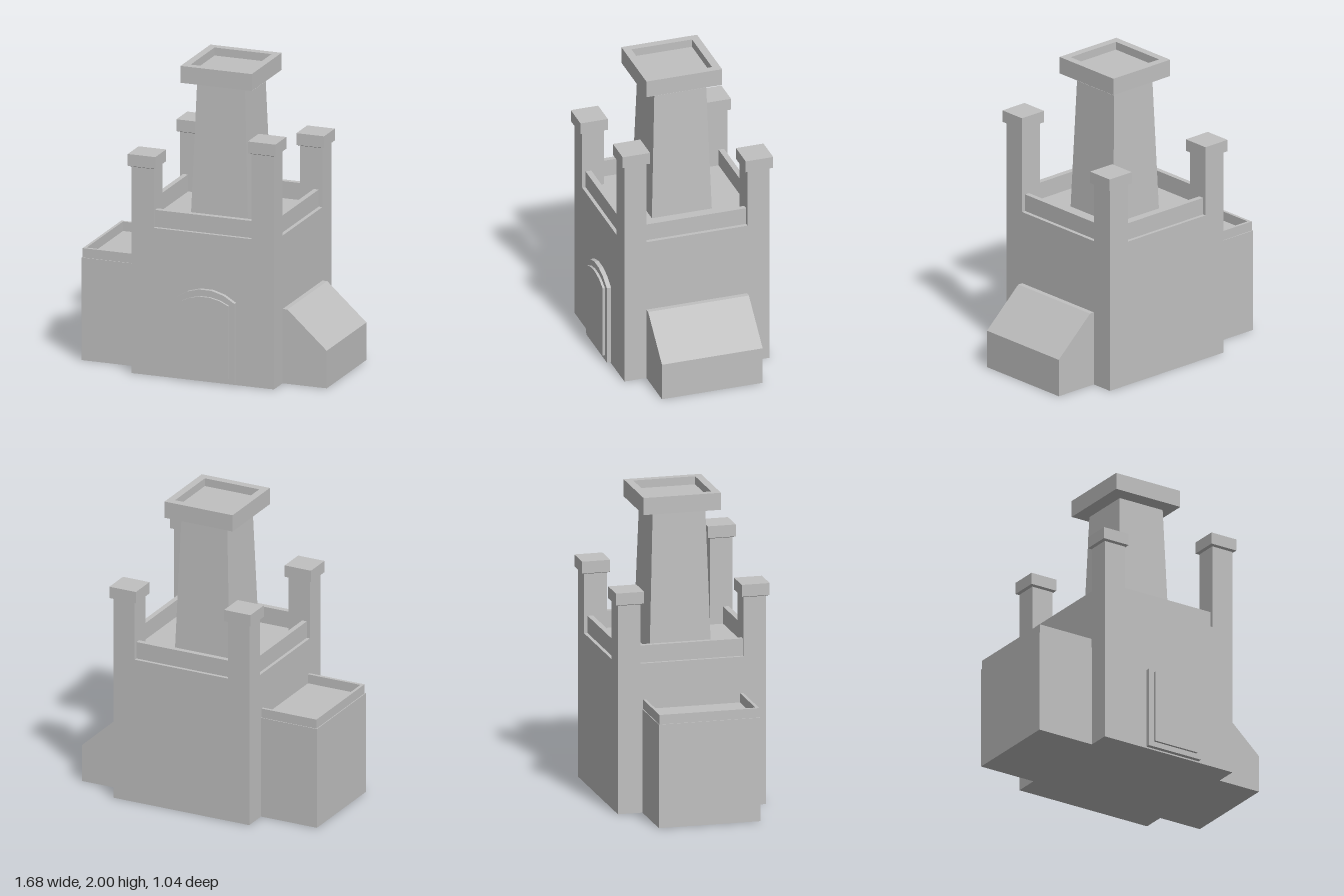
import * as THREE from 'three';

export function createModel() {
  const model = new THREE.Group();
  const stone = new THREE.MeshStandardMaterial({ color: 0xc0c0c0 });
  stone.name = 'stoneGrey';

  const add = (name, geometry) => {
    const mesh = new THREE.Mesh(geometry, stone);
    mesh.name = name;
    model.add(mesh);
    return mesh;
  };

  // Block given by its limits; grow widens (or narrows) the top by [x, z] per side
  const block = (name, [x0, x1], [y0, y1], [z0, z1], grow = [0, 0]) => {
    const g = new THREE.BoxGeometry(x1 - x0, y1 - y0, z1 - z0);
    const p = g.attributes.position;
    for (let i = 0; i < p.count; i++) {
      if (p.getY(i) < 0) continue;
      p.setX(i, p.getX(i) + Math.sign(p.getX(i)) * grow[0]);
      p.setZ(i, p.getZ(i) + Math.sign(p.getZ(i)) * grow[1]);
    }
    g.computeVertexNormals();
    g.translate((x0 + x1) / 2, (y0 + y1) / 2, (z0 + z1) / 2);
    return add(name, g);
  };

  const shapeOf = (points) => new THREE.Shape(points.map(([x, y]) => new THREE.Vector2(x, y)));
  const extrude = (shape, depth) => new THREE.ExtrudeGeometry(shape, { depth, bevelEnabled: false });
  // Plan outline (x, z) raised from y0 to y1
  const raise = (name, shape, y0, y1) =>
    add(name, extrude(shape, y1 - y0).rotateX(Math.PI / 2).translate(0, y1, 0));

  // Keep
  const roof = 0.98;
  block('keep', [-0.439, 0.537], [0, roof], [-0.503, 0.473]);

  // Corner turrets with overhanging caps; the front left one is taller
  const turretX = [[-0.439, -0.286], [0.383, 0.537]];
  const turretZ = [[-0.503, -0.354], [0.325, 0.473]];
  const o = 0.018;
  turretX.forEach((x, i) => turretZ.forEach((z, j) => {
    const top = i && j ? 1.545 : 1.37;
    block('turret', x, [roof, top], z);
    block('turretCapUnderside', x, [top, top + 0.008], z, [o, o]);
    block('turretCap', [x[0] - o, x[1] + o], [top + 0.008, top + 0.086], [z[0] - o, z[1] + o]);
  }));

  // Parapets between the turrets
  const wall = [roof, 1.093];
  block('frontParapet', [-0.286, 0.383], wall, [0.412, 0.45]);
  block('backParapet', [-0.286, 0.383], wall, [-0.48, -0.444]);
  block('rightParapet', [-0.417, -0.384], wall, [-0.354, 0.325]);
  block('leftParapet', [0.477, 0.511], wall, [-0.354, 0.325]);

  // Central tapered tower
  block('centralTower', [-0.147, 0.245], [roof, 1.878], [-0.215, 0.188], [-0.032, -0.028]);

  // Flared tower cap with a sunken top
  block('towerCapUnderside', [-0.115, 0.213], [1.876, 1.888], [-0.187, 0.16], [0.081, 0.081]);
  const rim = shapeOf([[-0.196, -0.268], [0.292, -0.268], [0.292, 0.241], [-0.196, 0.241]]);
  rim.holes.push(shapeOf([[-0.147, -0.217], [-0.147, 0.19], [0.243, 0.19], [0.243, -0.217]]));
  raise('towerCapRim', rim, 1.888, 2);
  block('towerCapFloor', [-0.147, 0.243], [1.888, 1.947], [-0.217, 0.19]);

  // Flat-roofed annex with a rim on its three outer sides
  block('annex', [-0.84, -0.439], [0, 0.68], [-0.342, 0.326]);
  raise('annexRim', shapeOf([
    [-0.439, -0.337], [-0.834, -0.337], [-0.834, 0.321], [-0.439, 0.321],
    [-0.439, 0.3], [-0.815, 0.3], [-0.815, -0.318], [-0.439, -0.318],
  ]), 0.68, 0.742);

  // Lean-to with a sloping roof
  add('leanTo', extrude(shapeOf([
    [0.537, 0], [0.839, 0], [0.839, 0.249], [0.57, 0.493], [0.537, 0.493],
  ]), 0.677).translate(0, 0, -0.352));

  // Arched door: frame plate and raised panel
  const arch = (name, cx, halfWidth, y0, spring, rise, z0, z1) => {
    const pts = [[cx - halfWidth, y0], [cx + halfWidth, y0]];
    const radius = (halfWidth ** 2 + rise ** 2) / (2 * rise);
    const sweep = Math.asin(halfWidth / radius);
    for (let i = 0; i <= 5; i++) {
      const a = sweep * (1 - (2 * i) / 5);
      pts.push([cx + radius * Math.sin(a), spring + rise - radius * (1 - Math.cos(a))]);
    }
    add(name, extrude(shapeOf(pts), z1 - z0).translate(0, 0, z0));
  };
  arch('doorFrame', 0.078, 0.199, 0.01, 0.546, 0.072, 0.47, 0.502);
  arch('doorPanel', 0.08, 0.162, 0.045, 0.53, 0.045, 0.49, 0.518);

  return model;
}
